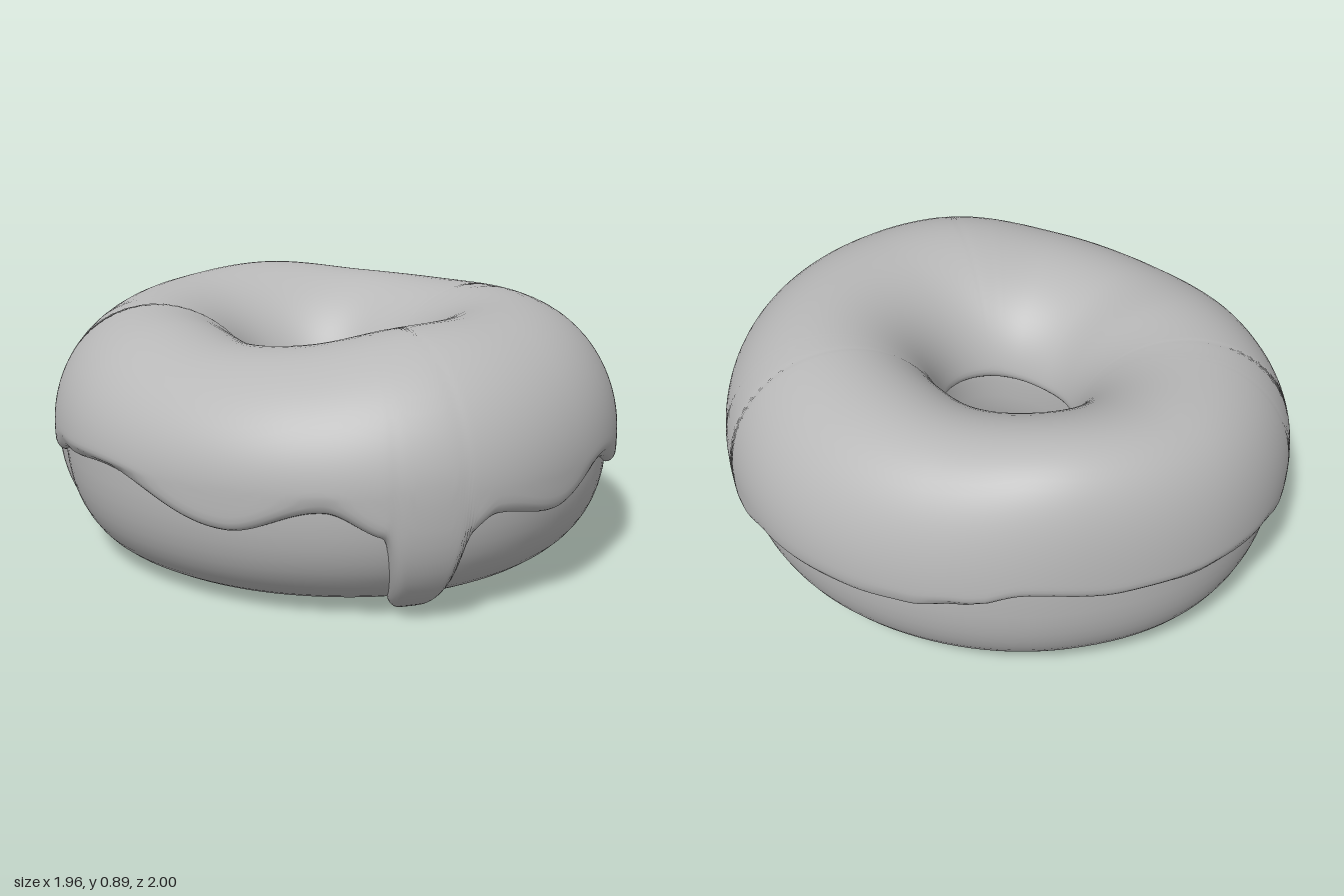
import * as THREE from 'three';

const RAD = Math.PI / 180;
const THICK = 0.035; // icing thickness
const MID = 0.43; // height of the widest part
const COLUMNS = 720; // icing cross-sections around the ring

// smooth closed curve through values at even steps, from +x towards +z
function ring(values) {
  const n = values.length;
  return (deg) => {
    const p = ((((deg % 360) + 360) % 360) / 360) * n;
    const i = Math.floor(p), t = p - i;
    const [a, b, c, d] = [-1, 0, 1, 2].map((k) => values[(i + k + n) % n]);
    return b + 0.5 * t * (c - a + t * (2 * a - 5 * b + 4 * c - d + t * (3 * (b - c) + d - a)));
  };
}
const outerRadius = ring([0.983, 0.99, 0.995, 0.998, 0.955, 0.94, 0.975, 1.03, 1.04, 1.0, 0.98, 0.983]);
const crest = ring([0.87, 0.87, 0.865, 0.855, 0.8, 0.783, 0.82, 0.838, 0.865, 0.895, 0.867, 0.862]);
const crestShift = ring([0, 0, 0, 0, 0, 0, 0, 0.05, 0.18, 0.28, 0.15, 0]);

// wavy lower edge of the icing: [degrees, height]
const waves = [[-12, 0.315], [-5, 0.28], [4, 0.31], [12, 0.39], [26, 0.32], [34, 0.33], [50, 0.41],
  [68, 0.32], [82, 0.355], [89, 0.3], [102, 0.31], [114, 0.385], [133, 0.31], [165, 0.42], [182, 0.4],
  [199, 0.34], [219, 0.35], [228, 0.385], [245, 0.405], [262, 0.43], [280, 0.46], [292, 0.41],
  [302, 0.38], [314, 0.37], [337, 0.358], [348, 0.315]];
// drips: [degrees, half width in degrees, lowest height, lean]
const drips = [[95, 6.6, 0.035, 0], [-2, 4.4, 0.05, 2], [208, 5, 0.045, 0]];

// signed angle between two directions, in degrees
const between = (deg, at) => ((deg - at + 900) % 360) - 180;

function edgeHeight(deg) {
  const d = ((deg + 732) % 360) - 12;
  let i = 0;
  while (i < waves.length - 2 && waves[i + 1][0] < d) i++;
  const [d0, y0] = waves[i], [d1, y1] = waves[i + 1];
  let y = y0 + ((y1 - y0) * (1 - Math.cos(((d - d0) / (d1 - d0)) * Math.PI))) / 2;
  for (const [at, width, low] of drips) {
    const gap = Math.abs(between(deg, at)) / width;
    y += (low - y) * Math.exp(-(gap ** 7));
  }
  return y;
}

// angle in the cross-section where the icing ends, for each column
const edge = Array.from({ length: COLUMNS }, (_, i) => {
  const drop = MID - edgeHeight((i / COLUMNS) * 360);
  const s = Math.min(Math.abs(drop) / 0.41, 1);
  return drop > 0 ? -Math.asin(s ** 1.25) : Math.asin(s);
});

// distance along the surface from a point to the wavy edge
function edgeDistance(column, phi) {
  const step = (2 * Math.PI / COLUMNS) * 0.93, reach = 7;
  const height = (k) => (edge[(column + k + COLUMNS) % COLUMNS] - phi) * 0.4;
  let best = Infinity;
  for (let k = -reach; k < reach; k++) {
    const x = k * step, y = height(k), dy = height(k + 1) - y;
    const t = THREE.MathUtils.clamp(-(x * step + y * dy) / (step * step + dy * dy), 0, 1);
    best = Math.min(best, Math.hypot(x + t * step, y + t * dy));
  }
  return best;
}

// point on the dough (off = 0) or above it
function ringPoint(deg, phi, off) {
  const th = deg * RAD, cx = Math.cos(th), cz = Math.sin(th);
  const hole = 0.217 + 0.026 * Math.cos(2 * (th - 55 * RAD));
  const ro = outerRadius(deg);
  const ox = ro * cx, oz = ro * cz, hx = hole * cx, hz = hole * cz - 0.078;
  const ax = (ox - hx) / 2, az = (oz - hz) / 2;
  const grow = 1 + (off - THICK) / Math.hypot(ax, az);
  const s = Math.sin(phi), c = Math.cos(phi);
  const e = s > 0 ? 1 : 0.8; // flatter underside
  let u = Math.sign(c) * Math.abs(c) ** e;
  const v = Math.sign(s) * Math.abs(s) ** e;
  if (s > 0) u += crestShift(deg) * s * s;
  const x = (ox + hx) / 2 + ax * grow * u;
  const z = (oz + hz) / 2 + az * grow * u;
  const bottom = 0.018 + 0.027 * x;
  const reach = s > 0 ? crest(deg) - THICK - MID : MID - bottom;
  return [x, MID + (reach + off) * v, z];
}

// surface from cross-sections around the ring
function loft(columns, rows, closed, pointAt) {
  const pos = [], index = [], stride = closed ? rows : rows + 1;
  for (let i = 0; i < columns; i++) {
    for (let j = 0; j < stride; j++) pos.push(...pointAt(i, j / rows));
    const next = (i + 1) % columns;
    for (let j = 0; j < rows; j++) {
      const k = (j + 1) % stride;
      const a = i * stride + j, b = i * stride + k, c = next * stride + j, d = next * stride + k;
      index.push(a, b, c, b, d, c);
    }
  }
  const g = new THREE.BufferGeometry();
  g.setAttribute('position', new THREE.Float32BufferAttribute(pos, 3));
  g.setIndex(index);
  g.computeVertexNormals();
  return g;
}

function icingPoint(column, t) {
  const deg = (column / COLUMNS) * 360;
  const start = edge[column], end = 176 * RAD;
  const phi = start + ((end - start) * (1 - Math.cos(t * Math.PI))) / 2;
  // distance to the nearest edge shapes a rounded lip
  const d = Math.min(edgeDistance(column, phi), (end - phi) * 0.4);
  const k = THREE.MathUtils.clamp(1 - d / 0.04, 0, 1);
  // lean the drips sideways towards their tips
  let twist = 0;
  for (const [at, width, , lean] of drips) {
    const gap = between(deg, at) / (width * 2.2);
    if (phi < 0) twist += lean * Math.exp(-(gap ** 4)) * phi * phi;
  }
  return ringPoint(deg + twist, phi, -0.004 + (THICK + 0.004) * Math.sqrt(1 - k * k));
}

export function createModel() {
  const grey = new THREE.MeshStandardMaterial({ color: 0xb8b8b8 });
  grey.name = 'grey';
  const model = new THREE.Group();
  model.name = 'donut';

  const dough = new THREE.Mesh(loft(120, 56, true, (i, t) => ringPoint(i * 3, t * 2 * Math.PI, 0)), grey);
  dough.name = 'dough';

  const icing = new THREE.Mesh(loft(COLUMNS, 50, false, icingPoint), grey);
  icing.name = 'icing';

  model.add(dough, icing);
  return model;
}
